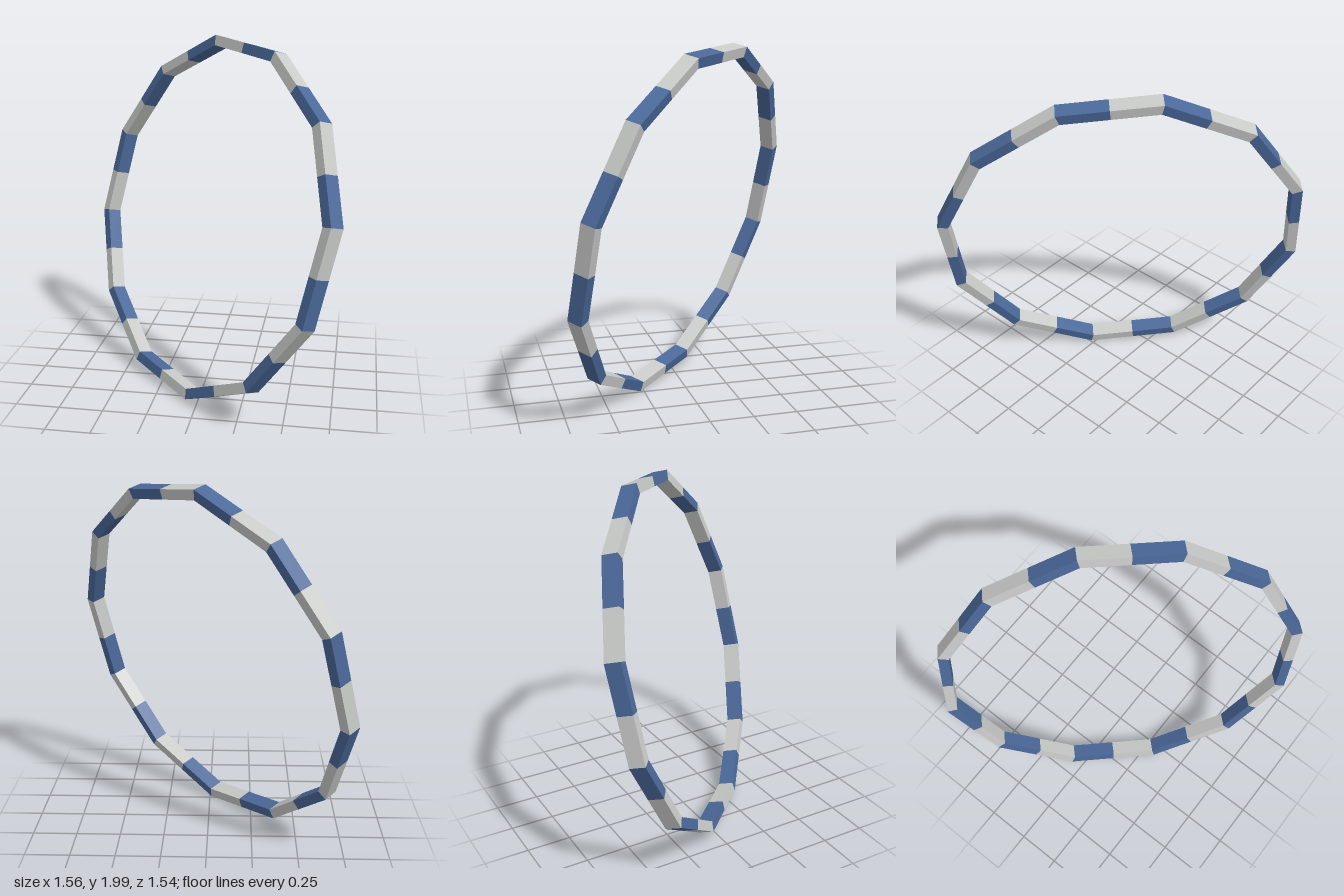
import * as THREE from 'three';

const SIDES = 12;
const OUTER = 1.031;   // corner radius of the outer edge
const INNER = 0.972;   // corner radius of the inner edge
const WIDTH = 0.086;   // thickness along the ring's axis

const silver = new THREE.MeshStandardMaterial({ color: 0xc8cac8 });
silver.name = 'silver grey';
const blue = new THREE.MeshStandardMaterial({ color: 0x4a6899 });
blue.name = 'slate blue';

// Corner k of the polygon at a given radius
function corner(k, radius) {
  const a = (k / SIDES) * Math.PI * 2;
  return new THREE.Vector2(Math.cos(a) * radius, Math.sin(a) * radius);
}

// Block covering the part of side k between fractions from and to
function block(k, from, to) {
  const at = (radius, f) => corner(k, radius).lerp(corner(k + 1, radius), f);
  const shape = new THREE.Shape([at(OUTER, from), at(OUTER, to), at(INNER, to), at(INNER, from)]);
  return new THREE.ExtrudeGeometry(shape, { depth: WIDTH, bevelEnabled: false })
    .translate(0, 0, -WIDTH / 2);
}

export function createModel() {
  const model = new THREE.Group();
  model.name = 'tiltedRing';

  const ring = new THREE.Group();
  ring.name = 'ring';
  for (let k = 0; k < SIDES; k++) {
    // Each straight side is half grey, half blue
    const greyBlock = new THREE.Mesh(block(k, 0, 0.5), silver);
    greyBlock.name = 'greySegment' + k;
    const blueBlock = new THREE.Mesh(block(k, 0.5, 1), blue);
    blueBlock.name = 'blueSegment' + k;
    ring.add(greyBlock, blueBlock);
  }

  // Tilt: one corner points almost straight up, another out to the front left
  const up = new THREE.Vector3(0.037, 0.956, -0.29).normalize();
  const axis = up.clone().cross(new THREE.Vector3(0.728, 0.175, 0.66)).normalize();
  const side = axis.clone().cross(up);
  ring.quaternion.setFromRotationMatrix(new THREE.Matrix4().makeBasis(up, side, axis));
  ring.position.y = 1;
  model.add(ring);
  return model;
}
